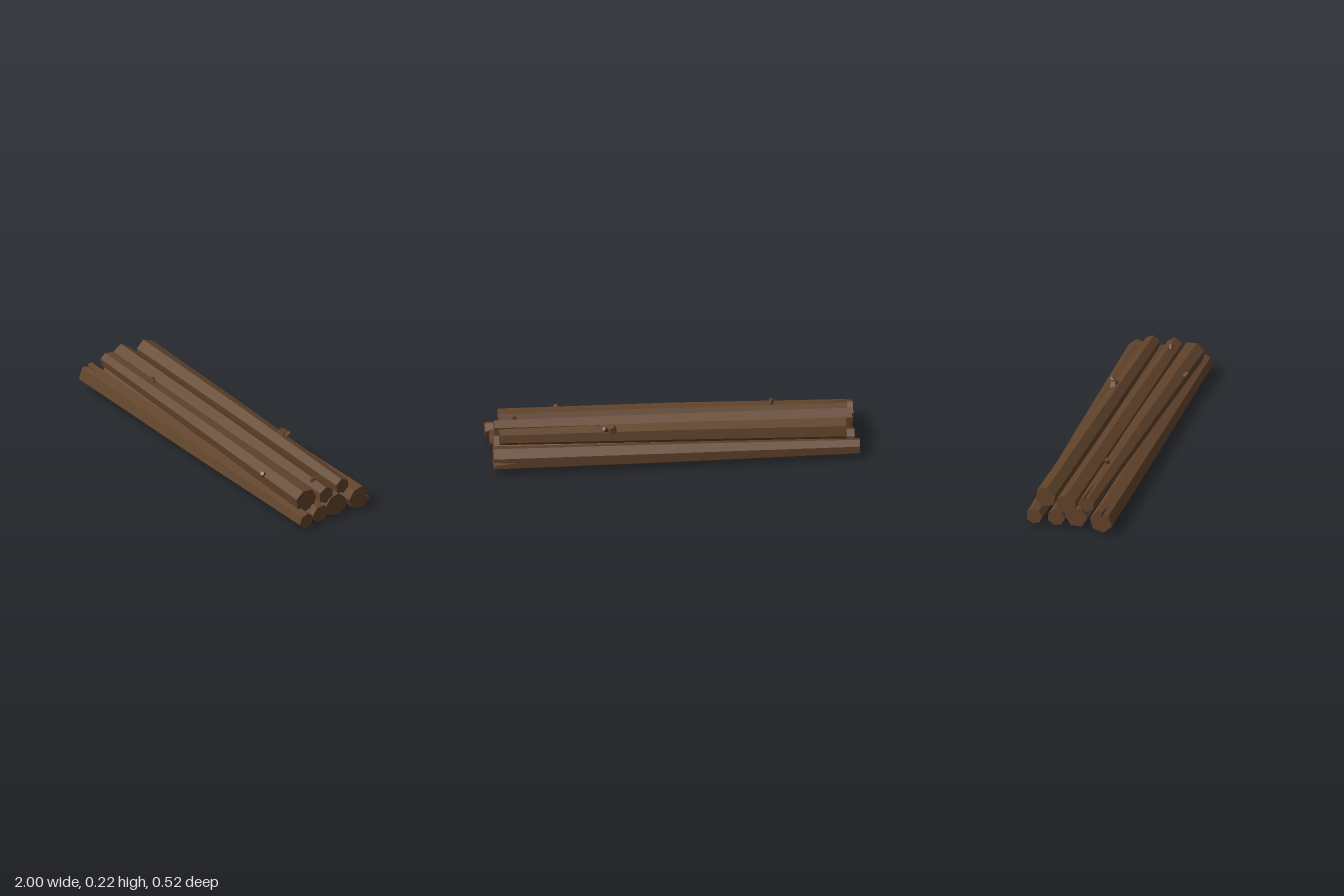
import * as THREE from 'three';

const bark = new THREE.MeshStandardMaterial({ color: 0x60422a, flatShading: true });
const mix = THREE.MathUtils.lerp;

// Cross-section of a log at t (0 = left -x end, 1 = +x end): a slightly uneven polygon
// with an optional V-shaped crack that closes away from its end.
function section(log, t) {
  const swell = 1 - Math.abs(2 * t - 1);
  const x = mix(log.low.x, log.high.x, t);
  const y = mix(log.low.y, log.high.y, t) + log.rise * swell;
  const z = mix(log.low.z, log.high.z, t);
  const radius = mix(log.low.r, log.high.r, t) * (1 + 0.06 * swell);
  const centre = new THREE.Vector3(x, y, z);
  const corners = Array.from({ length: log.sides }, (_, i) => {
    const angle = THREE.MathUtils.degToRad(log.turn) + (i / log.sides) * Math.PI * 2;
    const r = radius * (1 + 0.04 * Math.sin(2.4 * i));
    return new THREE.Vector3(x, y + r * Math.sin(angle), z - r * Math.cos(angle));
  });
  const points = corners.flatMap((a, i) => {
    if (!log.crack || log.crack.edge !== i) return [a];
    const b = corners[(i + 1) % log.sides];
    const open = t === log.crack.end ? 1 : 0;
    const crack = [-1, 0, 1].map((k) => a.clone().lerp(b, 0.5 + 0.15 * k * open));
    crack[1].lerp(centre, 0.45 * open);
    return [a, ...crack];
  });
  return { centre, points };
}

function addLog(group, log) {
  const stops = [0, 0.5, 1];
  if (log.crack) {
    stops.push(Math.abs(log.crack.end - log.crack.length));
    stops.sort((a, b) => a - b);
  }
  const rings = stops.map((t) => section(log, t));
  const first = rings[0];
  const last = rings[rings.length - 1];
  const faces = [];
  first.points.forEach((_, i) => {
    const j = (i + 1) % first.points.length;
    for (let k = 0; k + 1 < rings.length; k++) {
      const a = rings[k].points;
      const b = rings[k + 1].points;
      faces.push(a[i], a[j], b[j], a[i], b[j], b[i]);
    }
    // sawn ends
    faces.push(first.centre, first.points[j], first.points[i]);
    faces.push(last.centre, last.points[i], last.points[j]);
  });
  const geometry = new THREE.BufferGeometry().setFromPoints(faces);
  geometry.computeVertexNormals();
  const mesh = new THREE.Mesh(geometry, bark);
  mesh.name = log.name;
  group.add(mesh);
}

// Stub of a cut branch, leaning along a direction.
function addKnot(group, name, position, direction, radius) {
  const mesh = new THREE.Mesh(new THREE.CylinderGeometry(radius * 0.75, radius, 0.035, 6), bark);
  mesh.name = name;
  mesh.position.set(...position);
  mesh.quaternion.setFromUnitVectors(new THREE.Vector3(0, 1, 0), new THREE.Vector3(...direction).normalize());
  group.add(mesh);
}

export function createModel() {
  const group = new THREE.Group();
  group.name = 'logPile';

  // bottom row, front to back, thick and thin ends alternating
  addLog(group, {
    name: 'bottomLogFront', sides: 6, turn: 15, rise: 0, crack: { edge: 1, end: 0, length: 0.05 },
    low: { x: -0.99, y: 0.077, z: 0.2, r: 0.064 }, high: { x: 1, y: 0.058, z: 0.168, r: 0.044 },
  });
  addLog(group, {
    name: 'bottomLogInnerFront', sides: 6, turn: -2, rise: -0.008,
    low: { x: -0.97, y: 0.075, z: 0.055, r: 0.062 }, high: { x: 0.98, y: 0.06, z: 0.06, r: 0.05 },
  });
  addLog(group, {
    name: 'bottomLogInnerBack', sides: 7, turn: 25, rise: -0.008,
    low: { x: -0.98, y: 0.06, z: -0.055, r: 0.048 }, high: { x: 0.97, y: 0.075, z: -0.048, r: 0.066 },
  });
  addLog(group, {
    name: 'bottomLogBack', sides: 7, turn: 23, rise: 0, crack: { edge: 6, end: 1, length: 0.06 },
    low: { x: -1, y: 0.06, z: -0.172, r: 0.045 }, high: { x: 0.98, y: 0.077, z: -0.197, r: 0.067 },
  });

  // top row
  addLog(group, {
    name: 'topLogFront', sides: 7, turn: 5, rise: 0.004, crack: { edge: 1, end: 0, length: 0.1 },
    low: { x: -0.95, y: 0.15, z: 0.105, r: 0.046 }, high: { x: 0.93, y: 0.138, z: 0.121, r: 0.066 },
  });
  addLog(group, {
    name: 'topLogMiddle', sides: 6, turn: 30, rise: 0,
    low: { x: -0.97, y: 0.14, z: 0, r: 0.061 }, high: { x: 0.96, y: 0.148, z: 0.01, r: 0.048 },
  });
  addLog(group, {
    name: 'topLogBack', sides: 6, turn: 40, rise: 0.004,
    low: { x: -0.93, y: 0.148, z: -0.13, r: 0.06 }, high: { x: 0.94, y: 0.158, z: -0.111, r: 0.044 },
  });

  // branch stubs
  addKnot(group, 'knotFrontTop', [-0.54, 0.204, 0.095], [-0.3, 1, 0], 0.017);
  addKnot(group, 'knotFrontSide', [0.61, 0.172, 0.178], [0.4, 0.7, 0.7], 0.015);
  addKnot(group, 'knotMiddle', [0.85, 0.198, 0.02], [0.4, 1, 0], 0.014);
  addKnot(group, 'knotBackLarge', [0.34, 0.202, -0.14], [0.25, 1, -0.2], 0.033);
  addKnot(group, 'knotBackTwig', [0.37, 0.207, -0.155], [0.5, 0.6, -0.6], 0.014);
  return group;
}
